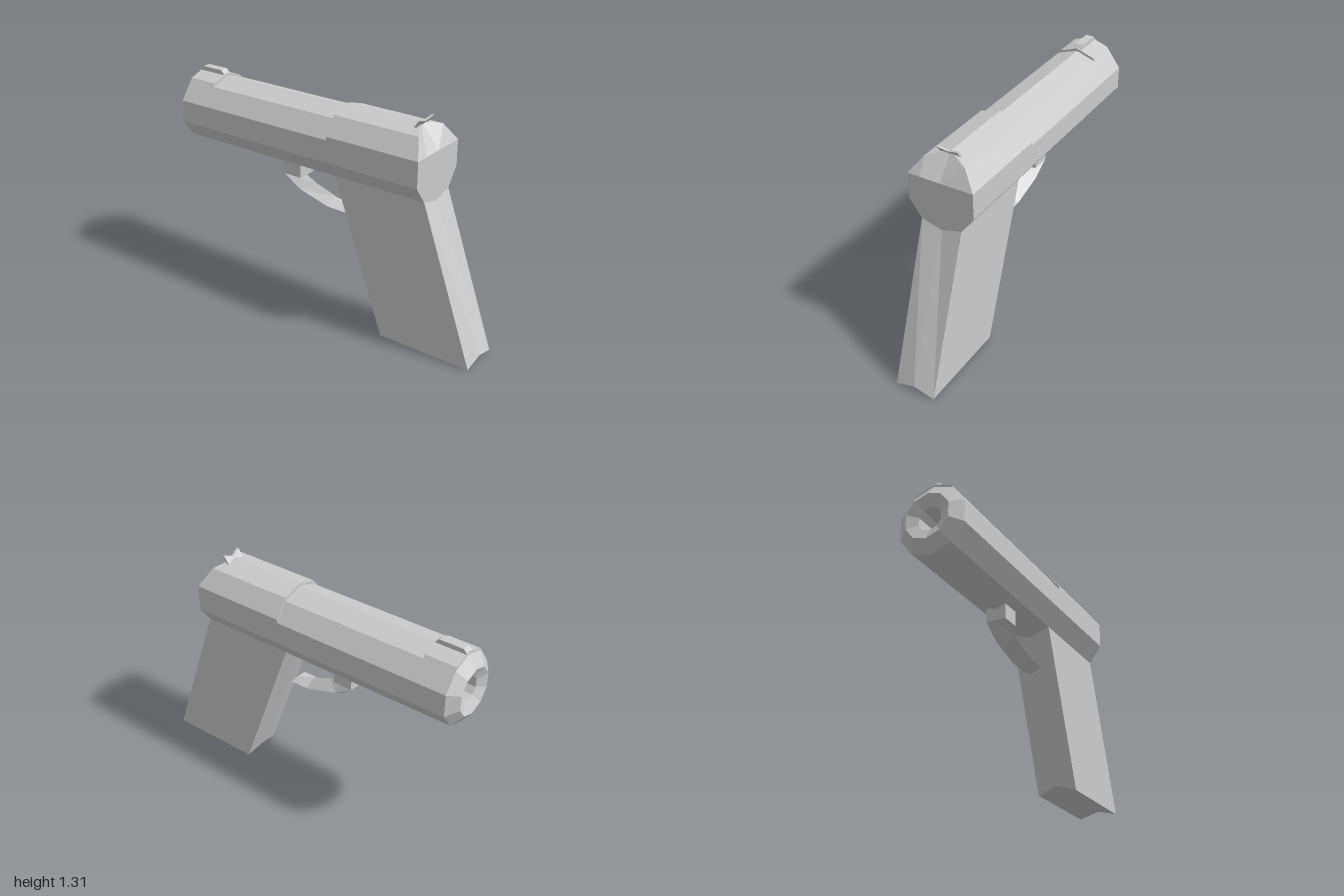
import * as THREE from 'three';

const material = new THREE.MeshStandardMaterial({ color: 0xcccccc, flatShading: true });

// Skins a list of equal-length rings of [x, y, z] points and caps both ends.
function loft(name, rings) {
  const n = rings[0].length, tris = [];
  for (let r = 0; r < rings.length - 1; r++) {
    for (let i = 0; i < n; i++) {
      const j = (i + 1) % n, a = rings[r], b = rings[r + 1];
      tris.push([a[i], a[j], b[j]], [a[i], b[j], b[i]]);
    }
  }
  const first = rings[0], last = rings[rings.length - 1];
  for (let i = 1; i < n - 1; i++) {
    tris.push([first[0], first[i + 1], first[i]], [last[0], last[i], last[i + 1]]);
  }
  // Turn the faces outward if the signed volume is negative
  let volume = 0;
  const [a, b, c] = [0, 1, 2].map(() => new THREE.Vector3());
  for (const t of tris) {
    volume += a.fromArray(t[0]).dot(b.fromArray(t[1]).cross(c.fromArray(t[2])));
  }
  if (volume < 0) tris.forEach((t) => t.reverse());
  const geometry = new THREE.BufferGeometry();
  geometry.setAttribute('position', new THREE.Float32BufferAttribute(tris.flat(2), 3));
  geometry.computeVertexNormals();
  const mesh = new THREE.Mesh(geometry, material);
  mesh.name = name;
  return mesh;
}

// Closes a right-hand half outline whose first and last points lie on x = 0.
const mirror = (half) => [...half, ...half.slice(1, -1).reverse().map(([x, ...rest]) => [-x, ...rest])];
const atZ = (outline, z) => outline.map(([x, y]) => [x, y, z]);

export function createModel() {
  const model = new THREE.Group();
  const centreY = 1.065;

  // Ten-sided barrel housing, bevelled muzzle, funnel and hollow bore
  const housing = mirror([[0, 0.86], [0.12, 0.9], [0.195, 1.0], [0.195, 1.13], [0.12, 1.23], [0, 1.27]]);
  const ring = (scale, z) => housing.map(([x, y]) => [x * scale, centreY + (y - centreY) * scale, z]);
  model.add(loft('barrelHousing', [
    ring(1, 0.105), ring(1, -0.95), ring(0.66, -1), ring(0.34, -0.97), ring(0.34, -0.6),
  ]));

  // Slightly taller rear housing with a sloped upper back
  const rear = mirror([
    [0, 0.86, 0.68], [0.12, 0.9, 0.68], [0.195, 1.0, 0.68],
    [0.195, 1.15, 0.68], [0.12, 1.25, 0.63], [0, 1.285, 0.57],
  ]);
  model.add(loft('rearHousing', [
    atZ(rear, 0.105),
    rear,
    rear.map(([x, y]) => [x, Math.min(y, 1.15), 0.68]),
  ]));

  // Raised pad and blade above the muzzle
  const pad = mirror([[0, 1.2], [0.12, 1.23], [0.108, 1.247], [0, 1.285]]);
  model.add(loft('frontSightPad', [atZ(pad, -0.765), atZ(pad, -0.95)]));
  const blade = (top, z) => [[-0.025, 1.25, z], [0.025, 1.25, z], [0.025, top, z], [-0.025, top, z]];
  model.add(loft('frontSight', [
    blade(1.28, -0.77), blade(1.302, -0.79), blade(1.302, -0.93), blade(1.28, -0.95),
  ]));

  // Notched rear sight, leaning backward
  const notch = mirror([[0, 1.25], [0.06, 1.25], [0.06, 1.31], [0, 1.29]]);
  const lean = (offset) => notch.map(([x, y]) => [x, y, 0.565 + offset + (y - 1.27) * 0.75]);
  model.add(loft('rearSight', [lean(0), lean(0.015)]));

  // Raked grip with ridged front and back and a shallow groove underneath
  const grip = (frontZ, backZ, sideY, midY, ridgeFront, ridgeBack) => mirror([
    [0, midY, ridgeFront], [0.12, sideY, frontZ], [0.12, sideY, backZ], [0, midY, ridgeBack],
  ]);
  model.add(loft('grip', [
    grip(0.43, 0.995, 0, 0.035, 0.41, 1.0),
    grip(0.11, 0.68, 0.9, 0.868, 0.105, 0.68),
  ]));

  // Trigger stem
  const stem = new THREE.Mesh(new THREE.BoxGeometry(0.12, 0.12, 0.115), material);
  stem.name = 'triggerStem';
  stem.position.set(0, 0.85, -0.2375);
  model.add(stem);

  // Curved trigger lever: diamond sections given as top, side and bottom [y, z]
  const lever = [
    [[0.79, -0.18], [0.79, -0.295], [0.785, -0.295]],
    [[0.755, -0.11], [0.72, -0.185], [0.69, -0.19]],
    [[0.705, 0.01], [0.665, 0.01], [0.63, 0.01]],
    [[0.665, 0.125], [0.662, 0.125], [0.63, 0.125]],
  ];
  model.add(loft('triggerLever', lever.map(([top, side, bottom]) =>
    mirror([[0, ...top], [0.06, ...side], [0, ...bottom]]))));

  return model;
}
